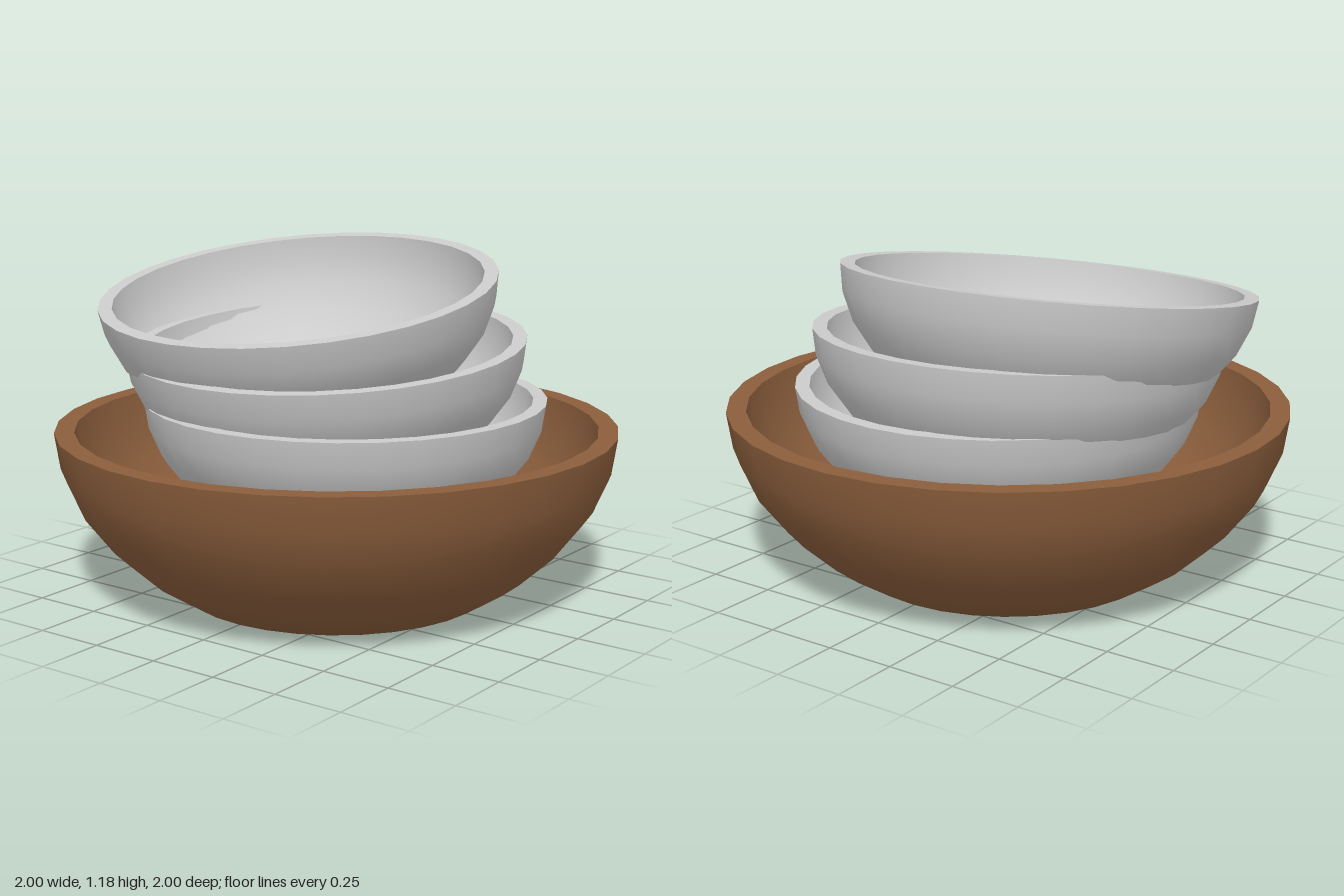
import * as THREE from 'three';
import { toCreasedNormals } from 'three/addons/utils/BufferGeometryUtils.js';

// One closed bowl profile: up the outside, over the rim, down the inside
const PROFILE = [
  [0, 0], [0.56, 0], [0.7, 0.09], [0.82, 0.2], [0.92, 0.33], [0.98, 0.47], [1, 0.6],
  [0.93, 0.6], [0.915, 0.49], [0.862, 0.36], [0.77, 0.24], [0.66, 0.14], [0.54, 0.06], [0, 0.06],
].map(([r, y]) => new THREE.Vector2(r, y));

export function createModel() {
  const model = new THREE.Group();
  model.name = 'stackedBowls';

  const wood = new THREE.MeshStandardMaterial({ color: 0x8b5e3c });
  const grey = new THREE.MeshStandardMaterial({ color: 0xcccccc });
  // Smooth walls, sharp rim edges
  const bowlGeometry = toCreasedNormals(new THREE.LatheGeometry(PROFILE, 32), 0.8);

  function addBowl(name, material, scale, position, tilt) {
    const bowl = new THREE.Mesh(bowlGeometry, material);
    bowl.name = name;
    bowl.scale.setScalar(scale);
    bowl.position.set(...position);
    bowl.rotation.z = THREE.MathUtils.degToRad(tilt);
    model.add(bowl);
  }

  // Large serving bowl
  addBowl('largeBowl', wood, 1, [0, 0, 0], 0);

  // Leaning stack of three small bowls, each tilted a little more
  addBowl('lowerSmallBowl', grey, 0.72, [0.055, 0.26, 0], 0);
  addBowl('middleSmallBowl', grey, 0.72, [0.09, 0.45, -0.09], 4.2);
  addBowl('upperSmallBowl', grey, 0.72, [0.095, 0.65, -0.195], 8.6);

  return model;
}
